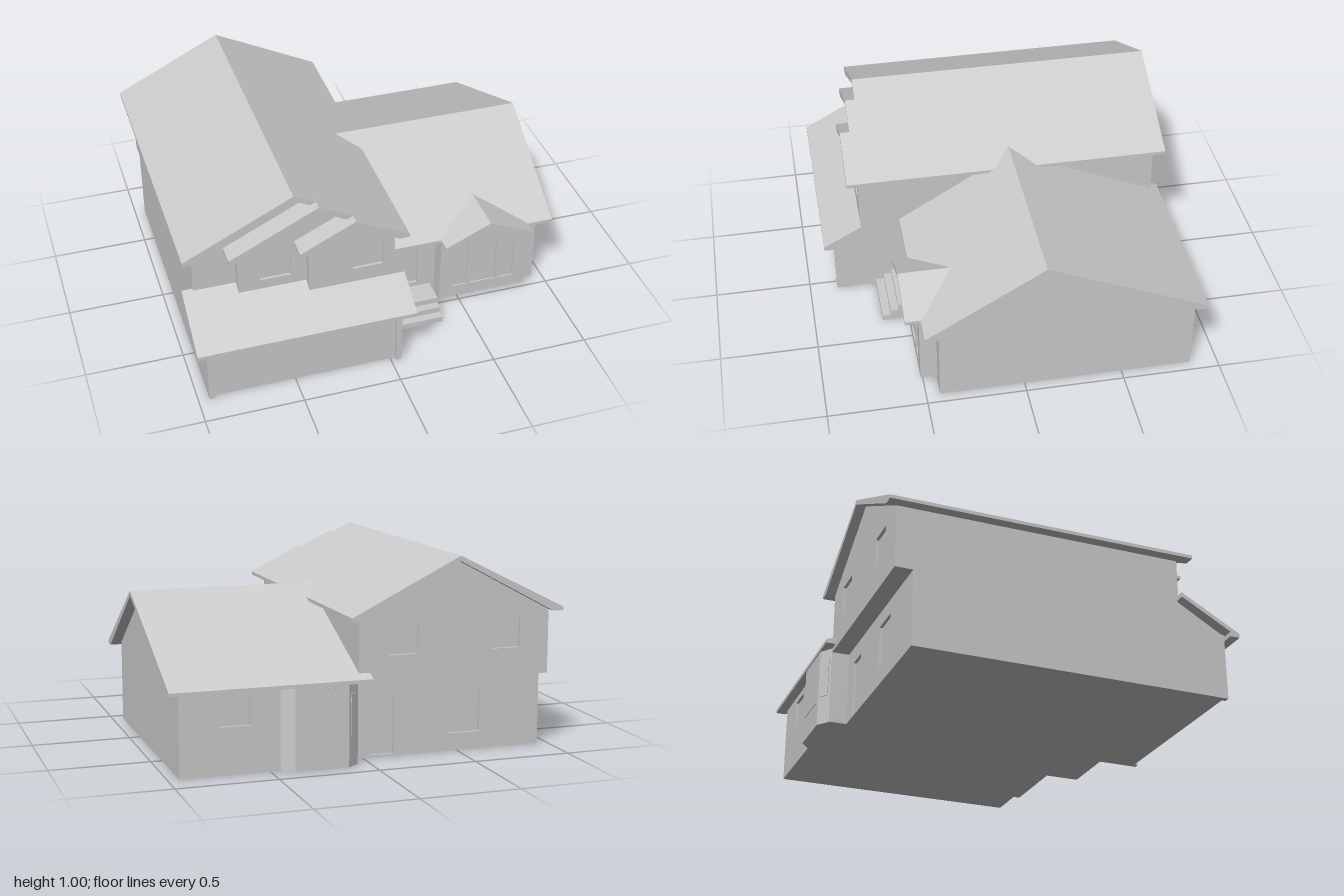
import * as THREE from 'three';

export function createModel() {
  const house = new THREE.Group();
  house.name = 'house';
  const mat = new THREE.MeshStandardMaterial({ color: 0xcccccc, flatShading: true });

  const add = (name, geo) => {
    const mesh = new THREE.Mesh(geo, mat);
    mesh.name = name;
    house.add(mesh);
    return mesh;
  };
  const box = (name, x0, x1, y0, y1, z0, z1) => add(name,
    new THREE.BoxGeometry(x1 - x0, y1 - y0, z1 - z0)
      .translate((x0 + x1) / 2, (y0 + y1) / 2, (z0 + z1) / 2));
  const outline = (pts) => new THREE.Shape(pts.map(([a, b]) => new THREE.Vector2(a, b)));
  const extrude = (shape, depth) =>
    new THREE.ExtrudeGeometry(shape, { depth, bevelEnabled: false });

  // (x, y) profile swept along z
  const alongZ = (name, pts, z0, z1) =>
    add(name, extrude(outline(pts), z1 - z0).translate(0, 0, z0));
  // (z, y) profile swept along x
  const alongX = (name, pts, x0, x1) =>
    add(name, extrude(outline(pts), x1 - x0).rotateY(-Math.PI / 2).translate(x1, 0, 0));

  // Wall skin with recessed openings, each [x0, x1, y0, y1]; a solid body behind closes them
  const skin = (name, pts, z0, z1, openings) => {
    const shape = outline(pts);
    for (const [a, b, c, d] of openings) {
      shape.holes.push(new THREE.Path(
        [[a, c], [a, d], [b, d], [b, c]].map(([x, y]) => new THREE.Vector2(x, y))));
    }
    add(name, extrude(shape, z1 - z0).translate(0, 0, z0));
  };

  // Gabled roof slab profile with level eave soffits
  const gable = (left, right, ridge, ridgeY, eaveY, inset) => [
    [left, eaveY - 0.018], [left, eaveY], [ridge, ridgeY], [right, eaveY],
    [right, eaveY - 0.018], [right - inset, eaveY - 0.018],
    [ridge, ridgeY - 0.026], [left + inset, eaveY - 0.018],
  ];

  // Stepped upper storey: three front gables sharing one right-hand roof slope
  const T = 0.015;
  const upper = (x0, ridge, ridgeY, y0) => [
    [x0, y0], [0.055, y0], [0.055, 0.72], [ridge, ridgeY - 0.015], [x0, 0.72]];
  const main = upper(-0.945, -0.445, 1.0, 0.385);
  const second = upper(-0.73, -0.335, 0.946, 0.4);
  const third = upper(-0.385, -0.165, 0.861, 0.4);
  alongZ('upperWalls', main, -0.86 + T, 0.61);
  skin('upperBackWall', main, -0.86, -0.86 + T,
    [[-0.25, -0.1, 0.525, 0.68], [-0.79, -0.64, 0.525, 0.68]]);
  alongZ('secondGableWall', second, 0.61, 0.66 - T);
  skin('secondGableFront', second, 0.66 - T, 0.66, [[-0.62, -0.465, 0.525, 0.68]]);
  alongZ('thirdGableWall', third, 0.61, 0.71 - T);
  skin('thirdGableFront', third, 0.71 - T, 0.71, [[-0.16, -0.005, 0.525, 0.68]]);

  alongZ('mainRoof', gable(-1, 0.11, -0.445, 1.0, 0.725, 0.055), -0.91, 0.67);
  alongZ('secondGableRoof', gable(-0.785, 0.11, -0.335, 0.946, 0.725, 0.055), 0.61, 0.72);
  alongZ('thirdGableRoof', gable(-0.445, 0.11, -0.165, 0.861, 0.725, 0.055), 0.61, 0.77);

  // Lower storey with garage, recessed below the upper storey at the back
  alongX('lowerWalls', [
    [-0.77 + T, 0], [0.835, 0], [0.835, 0.345], [0.61, 0.475], [0.5, 0.4], [-0.77 + T, 0.4],
  ], -0.945, 0.055);
  skin('lowerBackWall', [[-0.945, 0], [0.055, 0], [0.055, 0.4], [-0.945, 0.4]],
    -0.77, -0.77 + T, [[-0.16, -0.035, 0.012, 0.3], [-0.62, -0.455, 0.09, 0.31]]);
  box('garageLeftJamb', 0.025, 0.055, 0, 0.285, 0.835, 0.855);
  box('garageRightJamb', -0.945, -0.915, 0, 0.285, 0.835, 0.855);
  box('garageHeader', -0.945, 0.055, 0.285, 0.342, 0.835, 0.855);

  // Lean-to garage roof, stepping back with the walls above it
  const leanY = (z) => 0.335 + 0.55 * (0.91 - z);
  for (const [x0, x1, zb] of [[-1, -0.73, 0.6], [-0.73, -0.385, 0.65], [-0.385, 0.11, 0.71]]) {
    alongX('garageRoof', [
      [0.91, 0.313], [0.91, 0.335], [zb, leanY(zb)], [zb, leanY(zb) - 0.024], [0.86, 0.338], [0.86, 0.313],
    ], x0, x1);
  }

  // Single-storey wing
  alongX('wingWalls', [
    [-0.86 + T, 0], [0.43 - T, 0], [0.43 - T, 0.46], [-0.09, 0.765], [-0.86 + T, 0.435],
  ], 0.055, 0.945);
  const wing = (top) => [[0.055, 0], [0.945, 0], [0.945, top], [0.055, top]];
  skin('wingFrontWall', wing(0.455), 0.43 - T, 0.43, [[0.13, 0.285, 0.115, 0.38]]);
  skin('wingBackWall', wing(0.43), -0.86, -0.86 + T, [[0.6, 0.75, 0.235, 0.375]]);
  alongX('wingRoof', gable(-0.91, 0.505, -0.09, 0.782, 0.425, 0.05), 0, 1);

  // Angled bay at the back of the wing
  const bay = outline([[0.06, 0.86], [0.12, 0.905], [0.39, 0.905], [0.45, 0.86], [0.45, 0.84], [0.06, 0.84]].reverse());
  add('backBay', extrude(bay, 0.42).rotateX(-Math.PI / 2));
  box('backBayWindow', 0.15, 0.36, 0.13, 0.36, -0.908, -0.9);
  for (const side of [-1, 1]) {
    const pane = add('backBaySideWindow', new THREE.BoxGeometry(0.045, 0.21, 0.006));
    pane.position.set(0.255 + side * 0.165, 0.255, -0.8825);
    pane.rotation.y = side * Math.atan2(-0.045, 0.06);
  }

  // Front box window with its own small gable
  const boxWall = [[0.38, 0.045], [0.86, 0.045], [0.86, 0.41], [0.62, 0.525], [0.38, 0.41]];
  alongZ('boxWindowBody', boxWall, 0.42, 0.507);
  skin('boxWindowFront', boxWall, 0.507, 0.515,
    [[0.45, 0.53, 0.11, 0.38], [0.55, 0.69, 0.11, 0.38], [0.71, 0.79, 0.11, 0.38]]);
  alongZ('boxWindowRoof', gable(0.38, 0.86, 0.62, 0.538, 0.428, 0.012), 0.3, 0.583);

  // Porch steps
  [0.645, 0.602, 0.56].forEach((z, i) =>
    box('porchStep', 0.055, 0.355, i * 0.03, (i + 1) * 0.03, 0.43, z));

  return house;
}
